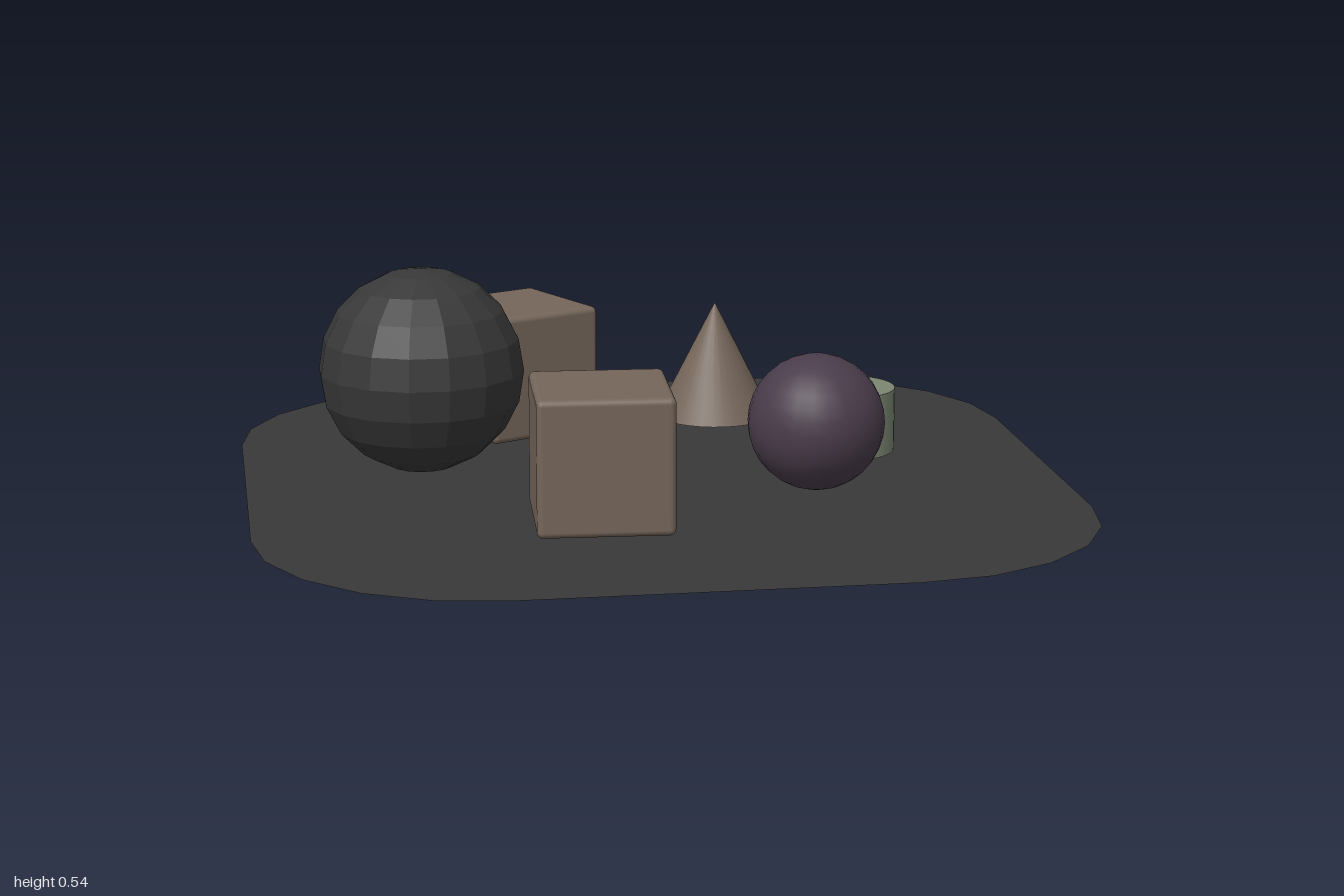
import * as THREE from 'three';
import { RoundedBoxGeometry } from 'three/addons/geometries/RoundedBoxGeometry.js';

function material(name, color, options = {}) {
  const m = new THREE.MeshStandardMaterial({ color, ...options });
  m.name = name;
  return m;
}

export function createModel() {
  const group = new THREE.Group();
  group.name = 'solidsOnMat';

  const matGrey = material('matGrey', 0x393939, { side: THREE.DoubleSide });
  const charcoal = material('charcoal', 0x383838, { flatShading: true });
  const brown = material('brown', 0x75665a);
  const plum = material('plum', 0x4a3c4b);
  const sage = material('sage', 0x7b8672);

  function add(name, geometry, mat, x, y, z, turn = 0) {
    const mesh = new THREE.Mesh(geometry, mat);
    mesh.name = name;
    mesh.position.set(x, y, z);
    mesh.rotation.y = turn;
    group.add(mesh);
    return mesh;
  }

  // Flat mat: a square with five-sided round corners
  const radius = 0.55, inset = 1 - radius, steps = 5;
  const outline = [];
  for (let corner = 0; corner < 4; corner++) {
    const mid = (corner + 0.5) * Math.PI / 2;
    const cx = Math.sign(Math.cos(mid)) * inset;
    const cy = Math.sign(Math.sin(mid)) * inset;
    for (let i = 0; i <= steps; i++) {
      const a = (corner + i / steps) * Math.PI / 2;
      outline.push(new THREE.Vector2(cx + radius * Math.cos(a), cy + radius * Math.sin(a)));
    }
  }
  const matGeometry = new THREE.ShapeGeometry(new THREE.Shape(outline));
  matGeometry.rotateX(-Math.PI / 2);
  add('mat', matGeometry, matGrey, 0, 0, 0);

  // Two soft-edged cubes
  const cube = new RoundedBoxGeometry(0.322, 0.327, 0.322, 3, 0.015);
  add('frontCube', cube, brown, -0.18, 0.17, 0.412, -0.055);
  add('backCube', cube, brown, -0.285, 0.17, -0.538, 0.457);

  // Faceted large ball and smooth small ball
  add('largeBall', new THREE.SphereGeometry(0.252, 16, 10), charcoal, -0.565, 0.283, -0.025, Math.PI / 16);
  add('smallBall', new THREE.SphereGeometry(0.166, 24, 16), plum, 0.366, 0.183, 0.244);

  // Cone and short cylinder
  add('cone', new THREE.ConeGeometry(0.154, 0.305, 32), brown, 0.26, 0.158, -0.585);
  add('cylinder', new THREE.CylinderGeometry(0.129, 0.129, 0.162, 32), sage, 0.524, 0.087, -0.168);

  return group;
}
